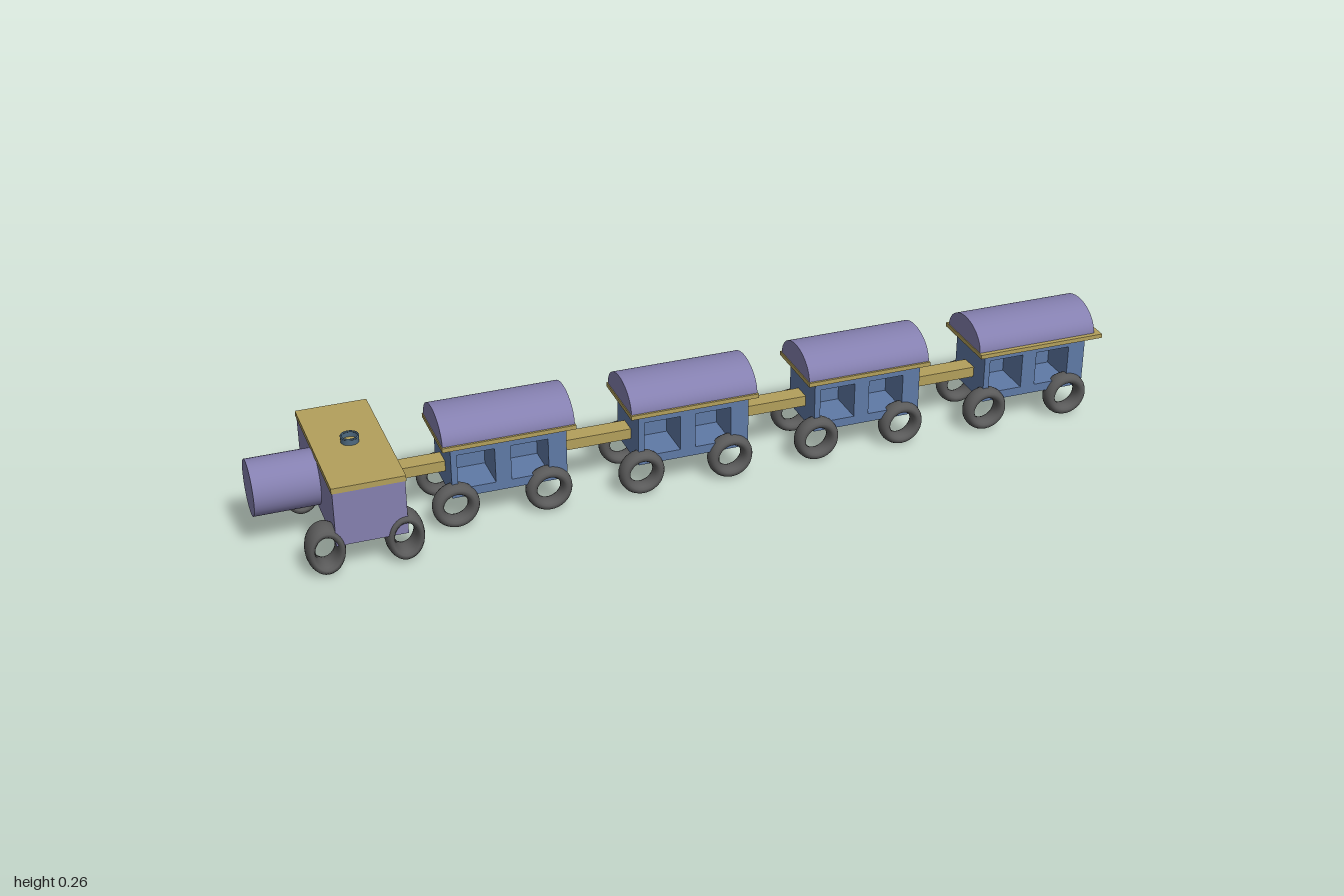
import * as THREE from 'three';

const mat = (color, side = THREE.FrontSide) => new THREE.MeshStandardMaterial({ color, side });
const purple = mat(0x8580b0);
const blue = mat(0x5f7aa6);
const gold = mat(0xb3a05c);
const rubber = mat(0x5a5a5a);
const pipe = mat(0x4f6a80, THREE.DoubleSide);

function add(parent, name, geometry, material, x = 0, y = 0, z = 0) {
  const mesh = new THREE.Mesh(geometry, material);
  mesh.name = name;
  mesh.position.set(x, y, z);
  parent.add(mesh);
  return mesh;
}

// Box given by its lower and upper limits
function box(parent, name, material, [x0, x1], [y0, y1], [z0, z1]) {
  return add(parent, name, new THREE.BoxGeometry(x1 - x0, y1 - y0, z1 - z0), material,
    (x0 + x1) / 2, (y0 + y1) / 2, (z0 + z1) / 2);
}

// Tyre: a ring stretched to the given half sizes
function wheel(parent, name, x, z, rx, ry, halfWidth) {
  const ring = new THREE.TorusGeometry(0.76, 0.24, 14, 36);
  ring.scale(rx, ry, halfWidth / 0.24);
  add(parent, name, ring, rubber, x, ry + 0.002, z);
}

function createEngine() {
  const engine = new THREE.Group();
  engine.name = 'engine';
  box(engine, 'cab', purple, [-0.856, -0.7], [0.073, 0.201], [-0.181, 0.175]);
  box(engine, 'cabRoof', gold, [-0.858, -0.698], [0.201, 0.214], [-0.183, 0.177]);

  const boiler = new THREE.CylinderGeometry(0.063, 0.063, 0.15, 40);
  boiler.rotateZ(Math.PI / 2);
  add(engine, 'boiler', boiler, purple, -0.925, 0.142, -0.012);

  // Short open chimney with a rim
  add(engine, 'chimney', new THREE.CylinderGeometry(0.02, 0.02, 0.014, 24, 1, true), pipe, -0.775, 0.221, -0.008);
  const rim = new THREE.TorusGeometry(0.019, 0.002, 6, 24);
  rim.rotateX(Math.PI / 2);
  add(engine, 'chimneyRim', rim, pipe, -0.775, 0.228, -0.008);

  for (const x of [-0.876, -0.705]) {
    wheel(engine, 'engineFrontWheel', x, 0.151, 0.043, 0.059, 0.03);
    wheel(engine, 'engineBackWheel', x, -0.112, 0.043, 0.059, 0.03);
  }
  return engine;
}

// Front wall with two square windows, extruded deep to form the compartments
function compartmentGeometry(depth) {
  const rect = (path, x0, x1, y0, y1) =>
    path.moveTo(x0, y0).lineTo(x1, y0).lineTo(x1, y1).lineTo(x0, y1).closePath();
  const wall = rect(new THREE.Shape(), -0.131, 0.131, 0.073, 0.198);
  for (const x of [-0.117, 0.004]) {
    wall.holes.push(rect(new THREE.Path(), x, x + 0.085, 0.094, 0.178));
  }
  return new THREE.ExtrudeGeometry(wall, { depth, bevelEnabled: false });
}

function createWagon(isLast) {
  const wagon = new THREE.Group();
  wagon.name = 'wagon';
  add(wagon, 'compartments', compartmentGeometry(0.09), blue, 0, 0, -0.016);
  box(wagon, 'backWall', blue, [-0.131, 0.131], [0.073, 0.198], [-0.07, -0.016]);

  // Eaves, longer and wider on the last wagon
  const end = isLast ? 0.165 : 0.151;
  const edge = isLast ? 0.092 : 0.086;
  box(wagon, 'eaves', gold, [-0.151, end], [0.197, 0.207], [-edge, edge]);

  // Vaulted roof
  const arch = new THREE.Shape();
  arch.absellipse(0, 0, 0.081, 0.058, 0, Math.PI, false, 0);
  arch.closePath();
  const vault = new THREE.ExtrudeGeometry(arch, { depth: 0.298, bevelEnabled: false, curveSegments: 40 });
  vault.rotateY(Math.PI / 2);
  add(wagon, 'vaultedRoof', vault, purple, -0.149, 0.206, 0);

  for (const x of [-0.124, 0.088]) {
    for (const side of [1, -1]) {
      wheel(wagon, 'wagonWheel', x, side * 0.071, 0.053, 0.053, 0.02);
    }
  }
  return wagon;
}

export function createModel() {
  const train = new THREE.Group();
  train.name = 'train';
  train.add(createEngine());

  const offsets = [-0.003, 0.003, -0.002, 0.004];
  offsets.forEach((z, i) => {
    const x = -0.445 + i * 0.4267;
    const wagon = createWagon(i === 3);
    wagon.position.set(x, 0, z);
    train.add(wagon);
    // Coupling bar to the vehicle ahead
    const start = i === 0 ? -0.71 : x - 0.31;
    box(train, 'coupling', gold, [start, x - 0.12], [0.114, 0.139], [z - 0.021, z + 0.022]);
  });
  return train;
}
